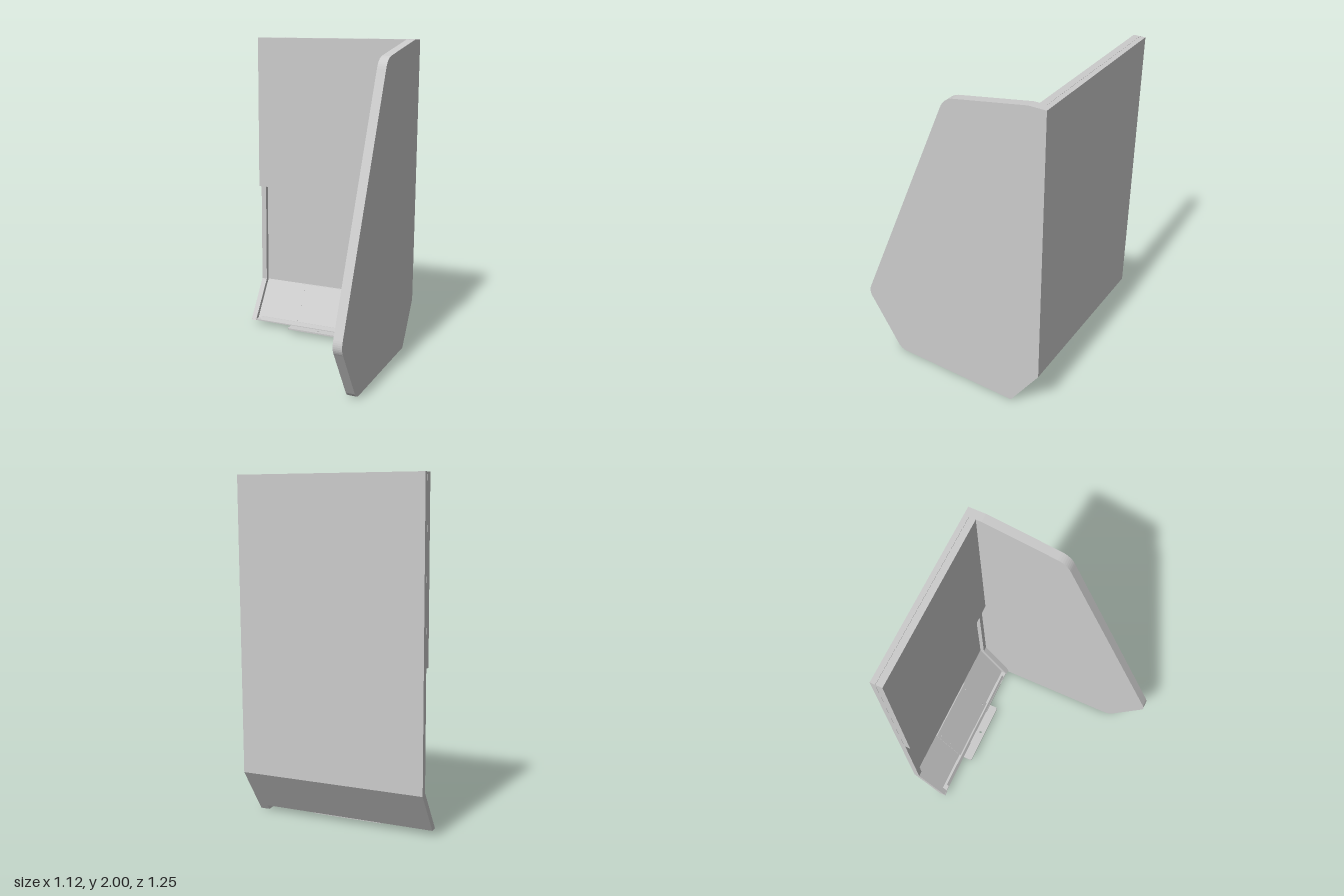
import * as THREE from 'three';

const grey = new THREE.MeshStandardMaterial({ color: 0xcccccc, flatShading: true });

// Extrudes a (z, y) outline along x, from x0 to x1.
function slab(name, shape, x0, x1) {
  const geo = new THREE.ExtrudeGeometry(shape, { depth: x1 - x0, bevelEnabled: false, curveSegments: 8 });
  geo.rotateY(-Math.PI / 2).translate(x1, 0, 0);
  const mesh = new THREE.Mesh(geo, grey);
  mesh.name = name;
  return mesh;
}

const outline = (points) => new THREE.Shape(points.map(([z, y]) => new THREE.Vector2(z, y)));

function box(name, x0, x1, y0, y1, z0, z1) {
  const mesh = new THREE.Mesh(new THREE.BoxGeometry(x1 - x0, y1 - y0, z1 - z0), grey);
  mesh.position.set((x0 + x1) / 2, (y0 + y1) / 2, (z0 + z1) / 2);
  mesh.name = name;
  return mesh;
}

export function createModel() {
  const model = new THREE.Group();
  model.name = 'wallScreen';
  const L = -0.56, R = 0.5;

  // Tall side panel with rounded corners
  const side = new THREE.Shape();
  side.moveTo(-0.625, 2);
  side.lineTo(-0.625, 0.28);
  side.lineTo(-0.44, 0);
  side.lineTo(0.36, 0);
  side.quadraticCurveTo(0.4, 0, 0.425, 0.035);
  side.lineTo(0.61, 0.335);
  side.quadraticCurveTo(0.64, 0.375, 0.62, 0.425);
  side.lineTo(0.01, 1.85);
  side.quadraticCurveTo(-0.013, 1.905, 0.01 - 0.08, 1.92);
  side.lineTo(-0.52, 2);
  model.add(slab('sidePanel', side, R, 0.556));

  // Upper panel in two layers
  model.add(box('upperBackLayer', L, R, 0.975, 2, -0.625, -0.594));
  model.add(box('upperFrontLayer', L, R, 0.975, 2, -0.593, -0.553));

  // Bent back sheet with a foot flange
  model.add(slab('backSheet', outline([
    [-0.625, 0.975], [-0.625, 0.28], [-0.46, 0.03], [-0.42, 0.03], [-0.42, 0.038],
    [-0.454, 0.038], [-0.615, 0.283], [-0.615, 0.975],
  ]), L, R));

  // Raised rims along both edges, following the bend
  const rim = outline([
    [-0.62, 0.975], [-0.62, 0.28], [-0.455, 0.03], [-0.415, 0.03], [-0.587, 0.29], [-0.587, 0.975],
  ]);
  model.add(slab('rightRim', rim, L, L + 0.035));
  model.add(slab('leftRim', rim, R - 0.035, R));

  // Turned-up lip on the flange
  model.add(slab('lip', outline([
    [-0.426, 0.034], [-0.42, 0.034], [-0.433, 0.06], [-0.439, 0.06],
  ]), -0.49, 0.43));

  // Mounting bracket: slanted plate and drilled tongue
  const bracket = new THREE.Group();
  bracket.name = 'bracket';
  bracket.add(slab('bracketPlate', outline([
    [-0.616, 0.28], [-0.453, 0.034], [-0.447, 0.038], [-0.608, 0.28],
  ]), -0.25, 0.19));

  const tongue = new THREE.Shape();
  tongue.moveTo(-0.25, 0.455);
  tongue.lineTo(-0.25, 0.375);
  tongue.quadraticCurveTo(-0.25, 0.36, -0.235, 0.36);
  tongue.lineTo(0.175, 0.36);
  tongue.quadraticCurveTo(0.19, 0.36, 0.19, 0.375);
  tongue.lineTo(0.19, 0.455);
  tongue.holes.push(new THREE.Path().absarc(-0.03, 0.39, 0.008, 0, Math.PI * 2, true));
  const tongueGeo = new THREE.ExtrudeGeometry(tongue, { depth: 0.01, bevelEnabled: false, curveSegments: 6 });
  tongueGeo.rotateX(-Math.PI / 2).translate(0, 0.024, 0);
  const tongueMesh = new THREE.Mesh(tongueGeo, grey);
  tongueMesh.name = 'bracketTongue';
  bracket.add(tongueMesh);

  // Screw heads in two columns, square to the slanted plate
  const screwGeo = new THREE.CylinderGeometry(0.006, 0.006, 0.006, 12);
  for (const x of [-0.225, 0.16]) {
    for (const y of [0.245, 0.155, 0.065]) {
      const screw = new THREE.Mesh(screwGeo, grey);
      screw.position.set(x, y, -0.608 + (0.28 - y) * 0.665);
      screw.rotation.x = Math.atan2(0.28, 0.185);
      screw.name = 'screw';
      bracket.add(screw);
    }
  }
  model.add(bracket);
  return model;
}
